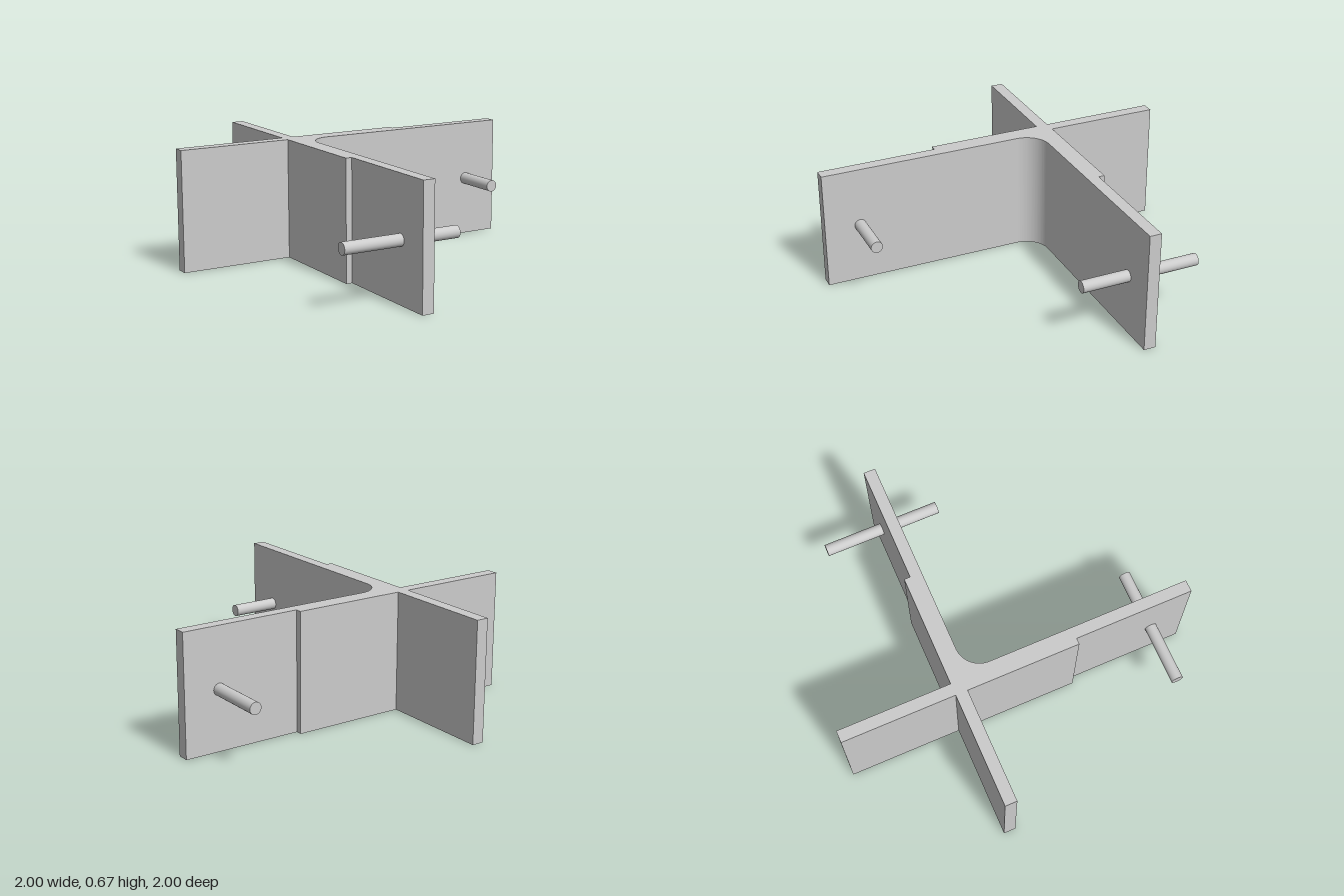
import * as THREE from 'three';
import { toCreasedNormals } from 'three/addons/utils/BufferGeometryUtils.js';

const HEIGHT = 2 / 3;
const OUT = -0.367;   // outer face of the thick part of each wall
const STEP = -0.333;  // outer face past the step
const WING = -0.3;    // inner face of the back and side wings
const IN = -0.267;    // inner face of the two long arms
const FILLET = 0.133; // radius of the inner corner

export function createModel() {
  const group = new THREE.Group();
  const material = new THREE.MeshStandardMaterial({ color: 0xcccccc });

  // Plan of the crossed walls, drawn counter-clockwise with shape y = -z
  const plan = new THREE.Shape();
  const start = [[OUT, -OUT], [-1, -OUT], [-1, -WING], [OUT, -WING],
    [OUT, -0.333], [STEP, -0.333], [STEP, -1], [IN, -1], [IN, -IN - FILLET]];
  start.forEach(([x, y], i) => (i ? plan.lineTo(x, y) : plan.moveTo(x, y)));
  plan.absarc(IN + FILLET, -IN - FILLET, FILLET, Math.PI, Math.PI / 2, true);
  const end = [[1, -IN], [1, -STEP], [0.333, -STEP], [0.333, -OUT],
    [WING, -OUT], [WING, 1], [OUT, 1]];
  end.forEach(([x, y]) => plan.lineTo(x, y));
  plan.closePath();

  const wallGeometry = new THREE.ExtrudeGeometry(plan, {
    depth: HEIGHT, bevelEnabled: false, curveSegments: 20,
  });
  wallGeometry.rotateX(-Math.PI / 2);
  const walls = new THREE.Mesh(toCreasedNormals(wallGeometry, 0.5), material);
  walls.name = 'crossedWalls';
  group.add(walls);

  // Round pins passing through the ends of the two long arms
  const addPin = (name, x, z, alongX) => {
    const pin = new THREE.Mesh(new THREE.CylinderGeometry(0.033, 0.033, 0.667, 32), material);
    if (alongX) pin.rotation.z = Math.PI / 2;
    else pin.rotation.x = Math.PI / 2;
    pin.position.set(x, HEIGHT / 2, z);
    pin.name = name;
    group.add(pin);
  };
  addPin('leftArmPin', 0.8, -0.333, false);
  addPin('frontArmPin', -0.333, 0.8, true);

  return group;
}
